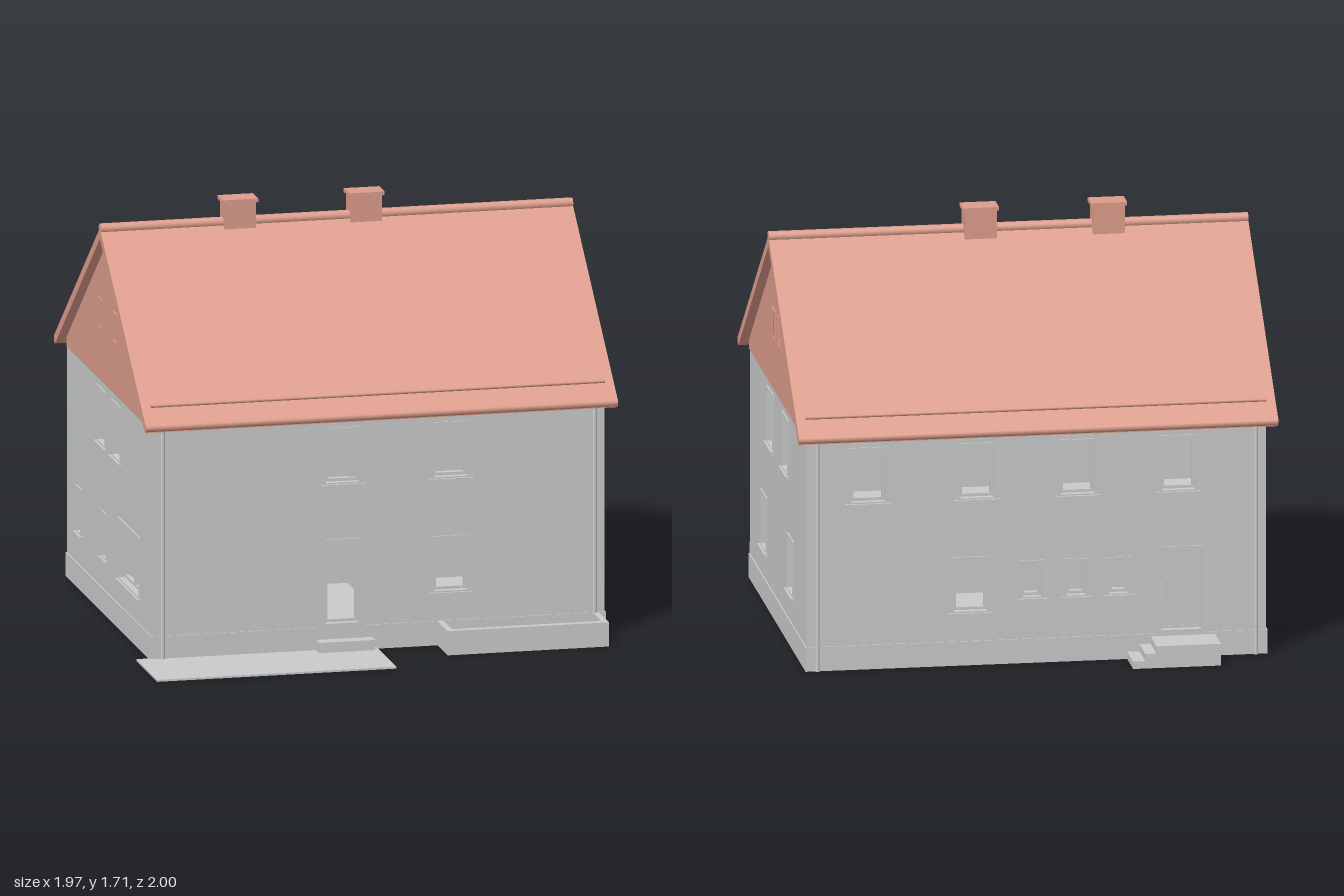
import * as THREE from 'three';

const CX = 0.0075, HX = 0.9325;            // wall centre and half width in x
const ZF = 0.645, ZB = -0.837, ZR = -0.094; // front wall, back wall, ridge
const T = 0.05;                             // wall thickness
const RIDGE = 1.615, SLOPE = 0.787, ROOF_T = 0.045;

export function createModel() {
  const house = new THREE.Group();
  house.name = 'house';
  const grey = new THREE.MeshStandardMaterial({ color: 0xc8cbca });
  grey.name = 'pale plaster';
  const red = new THREE.MeshStandardMaterial({ color: 0xdc9c8b });
  red.name = 'clay red';

  const add = (parent, name, geo, mat, x = 0, y = 0, z = 0) => {
    const m = new THREE.Mesh(geo, mat);
    m.name = name;
    m.position.set(x, y, z);
    parent.add(m);
    return m;
  };
  // box from its minimum and maximum corners
  const box = (parent, name, mat, x0, x1, y0, y1, z0, z1) =>
    add(parent, name, new THREE.BoxGeometry(x1 - x0, y1 - y0, z1 - z0), mat,
      (x0 + x1) / 2, (y0 + y1) / 2, (z0 + z1) / 2);
  const polygon = (pts) => new THREE.Shape(pts.map(([a, b]) => new THREE.Vector2(a, b)));
  const rect = (u0, u1, y0, y1) => [[u0, y0], [u1, y0], [u1, y1], [u0, y1]];
  const slab = (pts, holes, depth) => {
    const s = polygon(pts);
    s.holes = holes.map((h) => new THREE.Path(polygon(h).getPoints().reverse()));
    return new THREE.ExtrudeGeometry(s, { depth, bevelEnabled: false });
  };
  const inset = ([u0, u1, y0, y1], d) => rect(u0 + d, u1 - d, y0 + d, y1 - d);
  const rod = (parent, name, mat, r, len, x, y, z, alongX) => {
    const m = add(parent, name, new THREE.CylinderGeometry(r, r, len, 16), mat, x, y, z);
    if (alongX) m.rotation.z = Math.PI / 2;
    return m;
  };

  // surround, sash and sill of one opening; local z = 0 is the outer wall face
  const windowParts = (side, o, mat, opts = {}) => {
    const [u0, u1, y0, y1] = o;
    const g = new THREE.Group();
    g.name = opts.door ? 'doorway' : 'window';
    side.add(g);
    add(g, 'surround', slab(rect(...o), [inset(o, 0.014)], 0.006), mat);
    add(g, 'sash', slab(inset(o, 0.014), [inset(o, 0.026)], 0.015), mat, 0, 0, -0.035);
    if (opts.mullion) {
      const c = (u0 + u1) / 2;
      box(g, 'mullion', mat, c - 0.01, c + 0.01, y0 + 0.02, y1 - 0.02, -0.035, -0.02);
    }
    if (opts.leaf) {
      box(g, 'doorLeaf', mat, u0 + 0.02, u1 - 0.02, y0 + 0.01, y1 - 0.02, -0.035, -0.022);
      box(g, 'doorHandle', mat, u0 + 0.04, u0 + 0.047, y0 + 0.11, y0 + 0.23, -0.022, -0.008);
    }
    if (opts.sill) box(g, 'sill', mat, u0 - 0.008, u1 + 0.008, y0 - 0.008, y0 + 0.008, 0, 0.016);
  };

  // a wall drawn in (u, y), its outer face turned to the given heading
  const wall = (name, angle, x, z, halfU, centreU, height, openings) => {
    const side = new THREE.Group();
    side.name = name;
    side.position.set(x, 0, z);
    side.rotation.y = angle;
    house.add(side);
    add(side, name + 'Plaster',
      slab(rect(centreU - halfU, centreU + halfU, 0.05, height),
        openings.map((e) => inset(e.at, 0.014)), T), grey, 0, 0, -T);
    openings.forEach((e) => windowParts(side, e.at, grey, { sill: !e.door, ...e }));
    return side;
  };
  const win = (c, opts = {}, w = 0.165, y0 = 0.68, y1 = 0.92) =>
    ({ at: [c - w / 2, c + w / 2, y0, y1], ...opts });
  const low = (c) => win(c, {}, 0.165, 0.21, 0.45);

  wall('frontWall', 0, 0, ZF, HX, CX, 0.985, [
    win(-0.14), win(0.307), low(0.307), win(-0.14, { door: true }, 0.165, 0.1, 0.46)]);
  wall('backWall', Math.PI, 0, ZB, HX, -CX, 0.985, [
    win(-0.69), win(-0.25), win(0.16), win(0.57), low(-0.275),
    ...[-0.026, 0.155, 0.327].map((u) => win(u, {}, 0.105, 0.26, 0.425)),
    win(0.58, { door: true, leaf: true }, 0.19, 0.1, 0.46)]);
  const midZ = (ZF + ZB) / 2, halfZ = (ZF - ZB) / 2 - T;
  const right = wall('gableWallLeft', Math.PI / 2, CX + HX, 0, halfZ, -midZ, 0.95, [
    win(-0.1), win(0.292), low(-0.268), low(0.428)]);
  const left = wall('gableWallRight', -Math.PI / 2, CX - HX, 0, halfZ, midZ, 0.95, [
    win(-0.225), win(0.033), win(-0.62, {}, 0.1, 0.22, 0.42), win(-0.18, {}, 0.1, 0.22, 0.42),
    win(0.26, { mullion: true }, 0.38, 0.2, 0.46)]);

  // red gable triangles with attic windows
  const under = (z) => RIDGE - ROOF_T - SLOPE * Math.abs(z - ZR);
  const gable = (side, sign, centres, open) => {
    const pts = [[ZB, 0.95], [ZF, 0.95], [ZF, under(ZF)], [ZR, under(ZR)], [ZB, under(ZB)]]
      .map(([z, y]) => [z * sign, y]);
    const wins = centres.map((u) => [u - 0.043, u + 0.043, 1.16, 1.29]);
    add(side, 'gable', slab(pts, open ? wins.map((w) => inset(w, 0.014)) : [], T + 0.004), red, 0, 0, -T);
    wins.forEach((w) => {
      const g = new THREE.Group();
      g.name = 'atticWindow';
      g.position.z = 0.004;
      side.add(g);
      windowParts(g, w, red);
    });
  };
  gable(right, -1, [0.018, 0.168], true);
  gable(left, 1, [-0.235, 0.03], false);

  // plinth, upper floor and attic floor
  box(house, 'plinth', grey, CX - HX - 0.005, CX + HX + 0.005, 0, 0.1, ZB - 0.005, ZF + 0.005);
  const inX0 = CX - HX + T, inX1 = CX + HX - T, inZ0 = ZB + T, inZ1 = ZF - T;
  box(house, 'upperFloor', grey, inX0, inX1, 0.5, 0.54, inZ0, inZ1);
  box(house, 'atticFloor', red, inX0, inX1, 0.95, 0.97, inZ0, inZ1);

  // inner partitions with doorways
  add(house, 'spineWall', slab(rect(inX0, inX1, 0.1, 0.95),
    [rect(0.2, 0.29, 0.55, 0.88), rect(0.29, 0.38, 0.12, 0.45)], 0.03), grey, 0, 0, -0.1);
  const cross = add(house, 'crossWall', slab(rect(-inZ1, -inZ0, 0.1, 0.95),
    [rect(0.2, 0.255, 0.55, 0.88), rect(-0.37, -0.17, 0.12, 0.45)], 0.03), grey, 0.05, 0, 0);
  cross.rotation.y = Math.PI / 2;

  // roof: one folded cross-section extruded along x
  const RX = 0.973, D = 0.795;
  const eave = RIDGE - SLOPE * D;
  const roofGeo = slab([[-D, eave], [-D, eave - ROOF_T + 0.01], [-D + 0.013, eave - ROOF_T + 0.01],
    [0, RIDGE - ROOF_T], [D - 0.013, eave - ROOF_T + 0.01], [D, eave - ROOF_T + 0.01],
    [D, eave], [0, RIDGE]], [], 2 * RX);
  const roof = add(house, 'roof', roofGeo, red, CX - RX, 0, ZR);
  roof.rotation.y = Math.PI / 2;
  rod(house, 'ridgeTiles', red, 0.021, 2 * RX, CX, 1.612, ZR, true);
  for (const s of [-1, 1]) {
    rod(house, 'gutter', red, 0.017, 2 * RX, CX, 0.974, ZR + s * 0.79, true);
    rod(house, 'snowGuard', red, 0.008, 1.87, CX, 1.05, ZR + s * 0.732, true);
    for (const x of [-0.89, 0.89])
      rod(house, 'downpipe', grey, 0.009, 0.96, CX + x, 0.48, s > 0 ? ZF + 0.008 : ZB - 0.008);
  }

  // chimneys with capping slabs
  for (const x of [-0.395, 0.125]) {
    box(house, 'chimney', red, x - 0.065, x + 0.065, 1.52, 1.7, -0.14, -0.06);
    box(house, 'chimneyCap', red, x - 0.073, x + 0.073, 1.695, 1.71, -0.148, -0.053);
  }

  // terrace, front step and open planter
  box(house, 'terrace', grey, -0.987, 0, 0, 0.008, 0.635, 1);
  box(house, 'terraceStep', grey, -0.25, -0.02, 0, 0.05, 0.64, 0.705);
  box(house, 'planterFront', grey, 0.25, 0.915, 0, 0.1, 0.797, 0.827);
  box(house, 'planterEnd', grey, 0.25, 0.275, 0, 0.1, 0.645, 0.797);
  box(house, 'planterEnd', grey, 0.89, 0.915, 0, 0.1, 0.645, 0.797);

  // back entrance stairs
  [[-0.455, 0.09], [-0.41, 0.06], [-0.36, 0.03]].forEach(([x, h], i) =>
    box(house, 'entranceStep', grey, i ? -0.46 + (i - 1) * 0.05 : -0.717, x, 0, h, -1, -0.84));

  return house;
}
